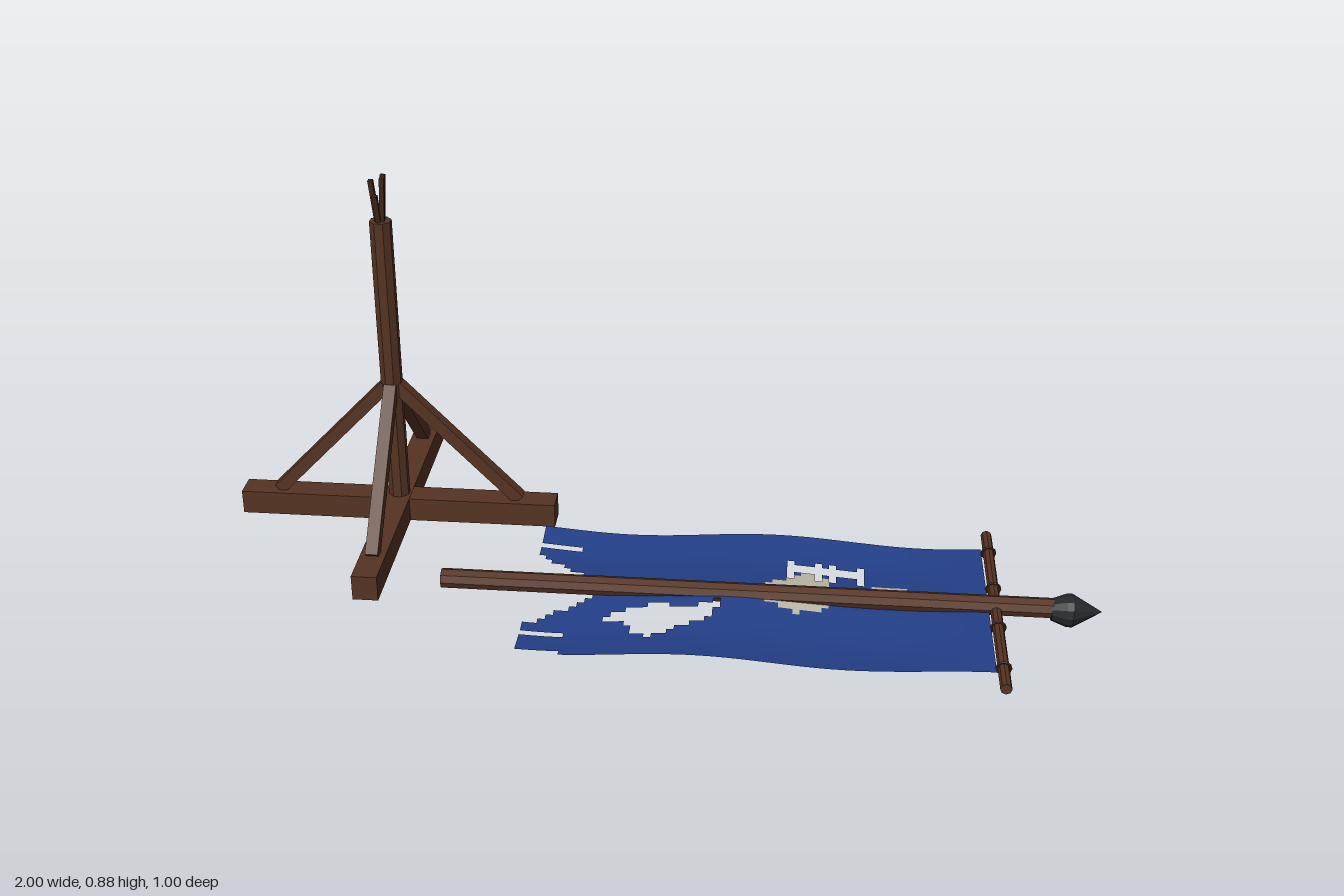
import * as THREE from 'three';

const mat = (name, color, extra = {}) => Object.assign(new THREE.MeshStandardMaterial({ color, ...extra }), { name });

export function createModel() {
  const model = new THREE.Group();
  model.name = 'fallenBannerAndStand';
  const wood = mat('brown wood', 0x553322, { flatShading: true });
  const darkWood = mat('dark wood', 0x3f2619, { flatShading: true });
  const iron = mat('dark iron', 0x222828, { flatShading: true });
  const blue = mat('blue cloth', 0x233f88, { side: THREE.DoubleSide });
  const pale = mat('pale cloth', 0xbdb8a6, { side: THREE.DoubleSide });

  const add = (parent, name, geo, material, x = 0, y = 0, z = 0) => {
    const m = new THREE.Mesh(geo, material);
    m.name = name;
    m.position.set(x, y, z);
    parent.add(m);
    return m;
  };
  // Turns a mesh built along y so that it spans two points
  const span = (mesh, a, b) => {
    mesh.position.copy(a).add(b).multiplyScalar(0.5);
    mesh.quaternion.setFromUnitVectors(new THREE.Vector3(0, 1, 0), b.clone().sub(a).normalize());
  };

  // Stand: crossed feet, post, four braces and a splintered top
  const stand = new THREE.Group();
  stand.name = 'stand';
  stand.position.set(-0.622, 0, -0.123);
  model.add(stand);
  add(stand, 'footAcross', new THREE.BoxGeometry(0.756, 0.058, 0.06), wood, 0, 0.043, 0);
  add(stand, 'footAlong', new THREE.BoxGeometry(0.058, 0.06, 0.756), wood, 0, 0.043, 0);
  const postGeo = new THREE.CylinderGeometry(0.0255, 0.0255, 0.755, 8);
  postGeo.rotateY(Math.PI / 8);
  add(stand, 'post', postGeo, wood, 0, 0.3925, 0);
  for (let i = 0; i < 4; i++) {
    const arm = new THREE.Group();
    arm.name = 'braceArm';
    arm.rotation.y = i * Math.PI / 2;
    stand.add(arm);
    const a = new THREE.Vector3(0.29, 0.073, 0), b = new THREE.Vector3(0.012, 0.362, 0);
    span(add(arm, 'brace', new THREE.BoxGeometry(0.029, a.distanceTo(b), 0.029), wood), a, b);
  }
  for (const [x, z, h] of [[0.013, 0.012, 0.875], [-0.014, 0.009, 0.868], [0.008, -0.018, 0.872], [-0.004, 0.02, 0.835]]) {
    const a = new THREE.Vector3(x * 0.3, 0.75, z * 0.3), b = new THREE.Vector3(x, h, z);
    span(add(stand, 'splinter', new THREE.BoxGeometry(0.011, a.distanceTo(b), 0.011), darkWood), a, b);
  }

  // Pole with a pointed iron tip
  const banner = new THREE.Group();
  banner.name = 'banner';
  model.add(banner);
  const poleZ = 0.192;
  const pole = add(banner, 'pole', new THREE.CylinderGeometry(0.0225, 0.0225, 1.36, 8), wood, 0.22, 0.041, poleZ);
  pole.rotation.z = -Math.PI / 2;
  const tipProfile = [[0, 0], [0.024, 0], [0.036, 0.032], [0.037, 0.045], [0, 0.11]].map(p => new THREE.Vector2(...p));
  const tip = add(banner, 'poleTip', new THREE.LatheGeometry(tipProfile, 12), iron, 0.89, 0.037, poleZ);
  tip.rotation.z = -Math.PI / 2;

  // Crossbar and the ties that hold the cloth
  const bar = add(banner, 'crossbar', new THREE.CylinderGeometry(0.0125, 0.0125, 0.605, 8), wood, 0.77, 0.036, 0.193);
  bar.rotation.x = Math.PI / 2;
  for (const z of [-0.03, 0.12, 0.273, 0.423])
    add(banner, 'tie', new THREE.TorusGeometry(0.015, 0.003, 5, 10), darkWood, 0.77, 0.037, z);

  // Cloth: a rippled grid of small cells, left out where it is torn
  const NX = 64, NZ = 32, X0 = -0.26, X1 = 0.755, Z0 = -0.06, Z1 = 0.44;
  const inside = (poly, x, z) => {
    let hit = false;
    for (let i = 0, j = poly.length - 1; i < poly.length; j = i++) {
      const [ax, az] = poly[i], [bx, bz] = poly[j];
      if ((az > z) !== (bz > z) && x < (bx - ax) * (z - az) / (bz - az) + ax) hit = !hit;
    }
    return hit;
  };
  const tears = [
    [[-0.095, 0.295], [-0.03, 0.25], [0.03, 0.24], [0.1, 0.25], [0.18, 0.22], [0.15, 0.28], [0.1, 0.31], [0.02, 0.355], [-0.02, 0.34], [-0.04, 0.305]],
    [[-0.27, 0.04], [-0.2, 0.09], [-0.12, 0.145], [-0.09, 0.19], [-0.16, 0.25], [-0.22, 0.3], [-0.27, 0.335]],
    [[-0.27, 0.0], [-0.16, 0.002], [-0.16, 0.019], [-0.27, 0.02]],
    [[-0.27, 0.345], [-0.16, 0.345], [-0.16, 0.361], [-0.27, 0.361]],
    [[-0.27, 0.424], [-0.16, 0.424], [-0.16, 0.45], [-0.27, 0.45]],
    [[0.31, 0.05], [0.48, 0.05], [0.48, 0.08], [0.31, 0.08]],
    ...[0.322, 0.38, 0.418, 0.47].map(x => [[x - 0.008, 0.028], [x + 0.008, 0.028], [x + 0.008, 0.105], [x - 0.008, 0.105]]),
  ];
  const patch = [[0.17, 0.205], [0.28, 0.14], [0.35, 0.085], [0.42, 0.09], [0.4, 0.15], [0.5, 0.12], [0.585, 0.11], [0.57, 0.15], [0.44, 0.19], [0.4, 0.225], [0.33, 0.25], [0.28, 0.215]];
  const ripple = (x, z) => 0.029 + 0.009 * Math.sin((x - 0.755) * 9.5 + z * 3) + 0.006 * Math.cos((z - 0.19) * 21) * Math.min(1, (X1 - x) * 4);

  const pos = [], blueIdx = [], paleIdx = [];
  for (let j = 0; j <= NZ; j++)
    for (let i = 0; i <= NX; i++) {
      const x = X0 + (X1 - X0) * i / NX, z = Z0 + (Z1 - Z0) * j / NZ;
      pos.push(x, ripple(x, z), z);
    }
  for (let j = 0; j < NZ; j++)
    for (let i = 0; i < NX; i++) {
      const x = X0 + (X1 - X0) * (i + 0.5) / NX, z = Z0 + (Z1 - Z0) * (j + 0.5) / NZ;
      if (tears.some(t => inside(t, x, z))) continue;
      const a = j * (NX + 1) + i, c = a + NX + 1;
      (inside(patch, x, z) ? paleIdx : blueIdx).push(a, c, a + 1, a + 1, c, c + 1);
    }
  const cloth = new THREE.BufferGeometry();
  cloth.setAttribute('position', new THREE.Float32BufferAttribute(pos, 3));
  cloth.setIndex([...blueIdx, ...paleIdx]);
  cloth.addGroup(0, blueIdx.length, 0);
  cloth.addGroup(blueIdx.length, paleIdx.length, 1);
  cloth.computeVertexNormals();
  add(banner, 'cloth', cloth, [blue, pale]);

  return model;
}
